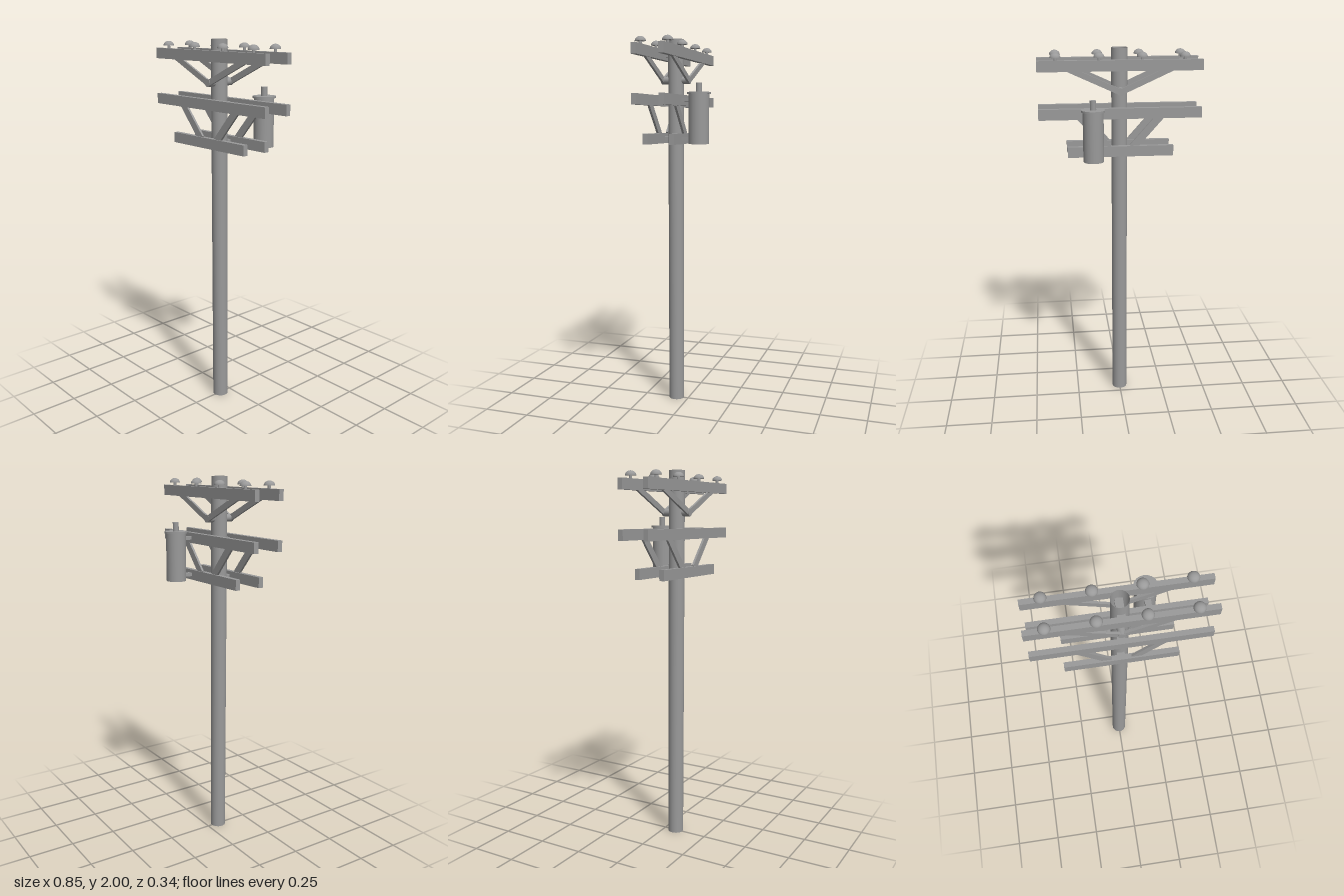
import * as THREE from 'three';

export function createModel() {
  const model = new THREE.Group();
  const grey = new THREE.MeshStandardMaterial({ color: 0x9a9a9a });
  const thin = new THREE.MeshStandardMaterial({ color: 0x9a9a9a, side: THREE.DoubleSide });
  const poleZ = 0.068;
  const armZ = [-0.005, 0.139]; // back and front arm of each pair
  const armGap = armZ[1] - armZ[0];

  const add = (name, geometry, x, y, z, material = grey, parent = model) => {
    const mesh = new THREE.Mesh(geometry, material);
    mesh.name = name;
    mesh.position.set(x, y, z);
    parent.add(mesh);
    return mesh;
  };

  // Flat bar between two points in a plane of constant z
  const brace = (name, x1, y1, x2, y2, z, width) => {
    const length = Math.hypot(x2 - x1, y2 - y1);
    const bar = add(name, new THREE.BoxGeometry(length, width, 0.012), (x1 + x2) / 2, (y1 + y2) / 2, z);
    bar.rotation.z = Math.atan2(y2 - y1, x2 - x1);
  };

  // Hollow pole, open at both ends
  add('pole', new THREE.CylinderGeometry(0.042, 0.042, 2, 24, 1, true), 0, 1, poleZ, thin);

  // Insulator: short stem with a shallow domed cap
  const insulator = (x, z) => {
    const group = new THREE.Group();
    group.name = 'insulator';
    group.position.set(x, 1.944, z);
    add('insulatorStem', new THREE.CylinderGeometry(0.008, 0.008, 0.026, 12), 0, 0.008, 0, grey, group);
    const dome = new THREE.SphereGeometry(0.028, 20, 8, 0, Math.PI * 2, 0, Math.PI / 2).scale(1, 0.85, 1);
    add('insulatorDome', dome, 0, 0.016, 0, grey, group);
    add('insulatorBase', new THREE.CircleGeometry(0.028, 20).rotateX(Math.PI / 2), 0, 0.016, 0, grey, group);
    model.add(group);
  };

  // Three pairs of crossarms, each joined through the pole by a flat tie
  const arms = [['upperArm', 1.918, 0.85], ['middleArm', 1.675, 0.85], ['lowerArm', 1.476, 0.557]];
  for (const [name, y, length] of arms) {
    for (const z of armZ) add(name, new THREE.BoxGeometry(length, 0.055, 0.027), 0, y, z);
    add('armTie', new THREE.BoxGeometry(0.037, 0.02, armGap), 0, y, poleZ);
  }

  // Diagonal braces and insulators on both arms of each pair
  for (const z of armZ) {
    for (const side of [-1, 1]) {
      brace('upperBrace', side * 0.27, 1.905, 0, 1.783, z, 0.03);
      brace('lowerBrace', side * 0.21, 1.66, side * 0.062, 1.494, z, 0.04);
    }
    for (const x of [-0.33, -0.11, 0.11, 0.33]) insulator(x, z);
  }

  // Round bolt where the upper braces meet
  const bolt = new THREE.CylinderGeometry(0.02, 0.02, armGap + 0.016, 16).rotateX(Math.PI / 2);
  add('braceBolt', bolt, 0, 1.785, poleZ);

  // Transformer can hung behind the arms
  const tx = 0.15, tz = -0.109;
  add('transformerTank', new THREE.CylinderGeometry(0.053, 0.053, 0.256, 20), tx, 1.578, tz);
  add('transformerLid', new THREE.CylinderGeometry(0.061, 0.061, 0.01, 20), tx, 1.71, tz);
  add('transformerBushing', new THREE.CylinderGeometry(0.016, 0.016, 0.05, 16), tx, 1.737, tz);
  for (const y of [1.675, 1.477]) {
    add('transformerBracket', new THREE.BoxGeometry(0.03, 0.018, 0.07), tx + 0.001, y, -0.045);
  }

  return model;
}
